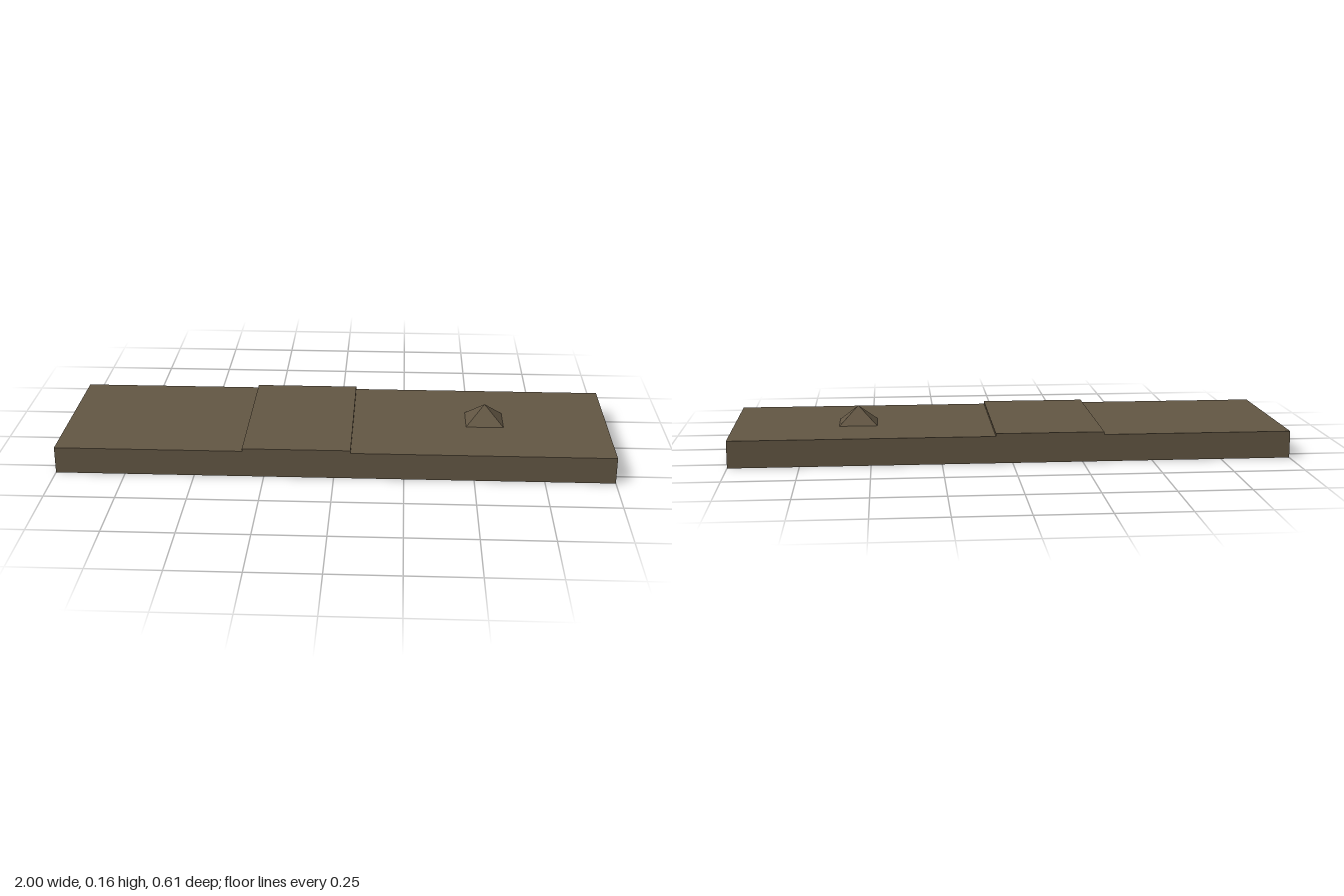
import * as THREE from 'three';

export function createModel() {
  const group = new THREE.Group();
  const brown = new THREE.MeshStandardMaterial({ color: 0x625643, side: THREE.DoubleSide, flatShading: true });
  brown.name = 'earthBrown';

  const halfX = 1, halfZ = 0.307, deckY = 0.097;
  const peak = { x: 0.547, z: -0.017, half: 0.069, height: 0.064 };

  const add = (name, geometry, x = 0, y = 0, z = 0) => {
    const mesh = new THREE.Mesh(geometry, brown);
    mesh.name = name;
    mesh.position.set(x, y, z);
    group.add(mesh);
    return mesh;
  };

  const rectangle = (Type, cx, cy, hx, hy) => new Type([
    new THREE.Vector2(cx - hx, cy - hy), new THREE.Vector2(cx + hx, cy - hy),
    new THREE.Vector2(cx + hx, cy + hy), new THREE.Vector2(cx - hx, cy + hy),
  ]);

  // Deck sheet, open beneath the hollow peak
  const deck = rectangle(THREE.Shape, 0, 0, halfX, halfZ);
  deck.holes.push(rectangle(THREE.Path, peak.x, -peak.z, peak.half, peak.half));
  add('deck', new THREE.ShapeGeometry(deck).rotateX(-Math.PI / 2), 0, deckY, 0);

  // Thin skirt walls around the open underside
  for (const side of [1, -1]) {
    const turn = side > 0 ? 0 : Math.PI;
    add(side > 0 ? 'frontWall' : 'backWall',
      new THREE.PlaneGeometry(2 * halfX, deckY).rotateY(turn), 0, deckY / 2, side * halfZ);
    add(side > 0 ? 'leftWall' : 'rightWall',
      new THREE.PlaneGeometry(2 * halfZ, deckY).rotateY(side * Math.PI / 2), side * halfX, deckY / 2, 0);
  }

  // Slightly raised band across the deck
  add('raisedBand', new THREE.BoxGeometry(0.386, 0.01, 2 * halfZ), -0.133, deckY + 0.005, 0);

  // Hollow four-sided peak
  const pyramid = new THREE.ConeGeometry(peak.half * Math.SQRT2, peak.height, 4, 1, true).rotateY(Math.PI / 4);
  add('peak', pyramid, peak.x, deckY + peak.height / 2, peak.z);

  return group;
}
